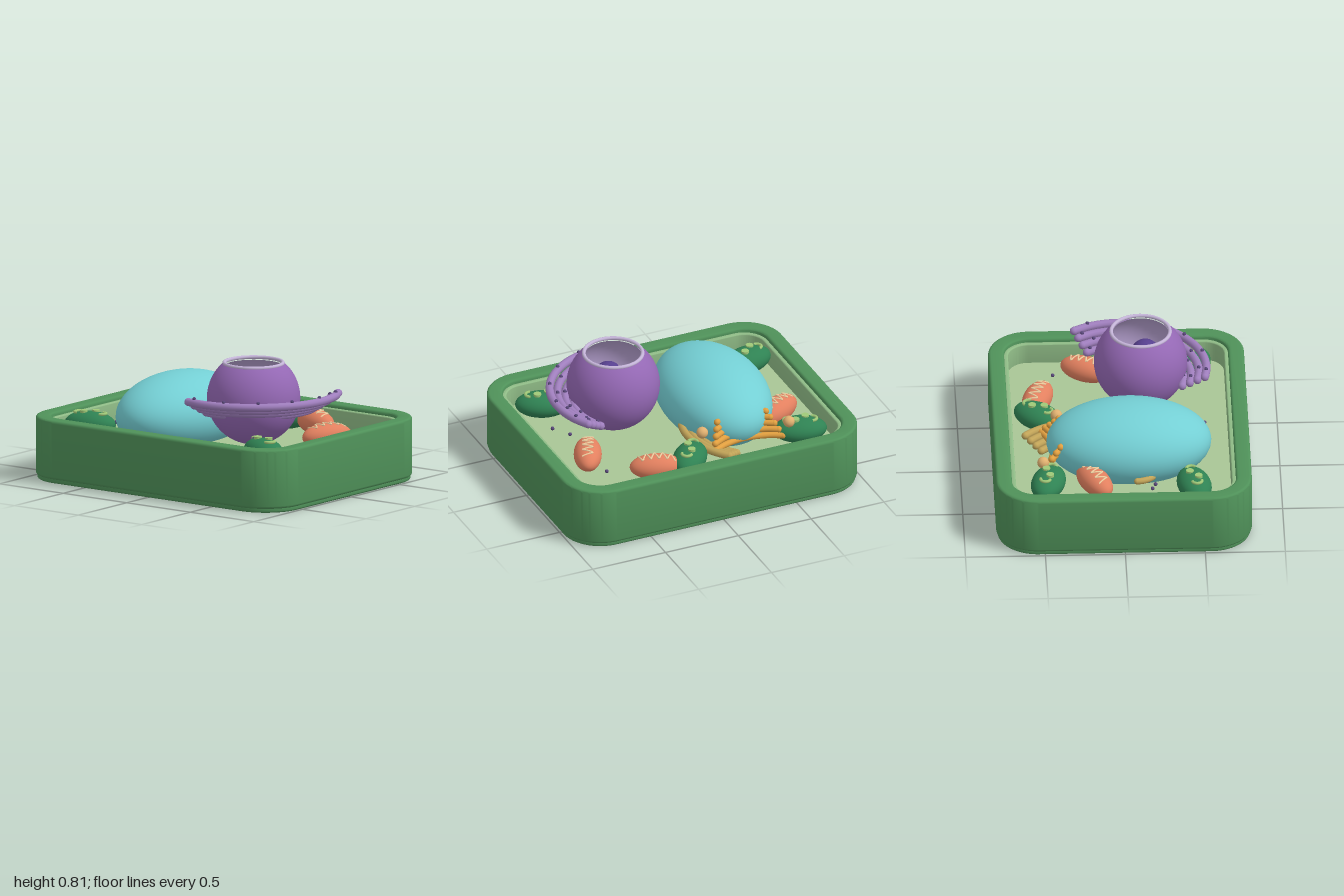
import * as THREE from 'three';
import { toCreasedNormals } from 'three/addons/utils/BufferGeometryUtils.js';

const mat = (color, double) => new THREE.MeshStandardMaterial({ color, side: double ? THREE.DoubleSide : THREE.FrontSide });
const M = {
  wall: mat(0x4f9159), membrane: mat(0x8fbb86), cytoplasm: mat(0xa9c596),
  vacuole: mat(0x74cfd4), nucleus: mat(0x9468b4), lining: mat(0xb49fce, true), rim: mat(0xc4b4d8),
  nucleolus: mat(0x57408f), er: mat(0xa07fbe), ribosome: mat(0x59487a),
  golgi: mat(0xe2a040), smooth: mat(0xc2a458), vesicle: mat(0xe0b070),
  mito: mat(0xe2805f), crista: mat(0xf0cfa0), chloro: mat(0x2f8253), granum: mat(0x9fc878),
};

function add(parent, name, geo, material, x = 0, y = 0, z = 0) {
  const m = new THREE.Mesh(geo, material);
  m.name = name;
  m.position.set(x, y, z);
  parent.add(m);
  return m;
}

function roundedRect(hx, hz, r, Type = THREE.Shape) {
  const s = new Type();
  s.absarc(hx - r, hz - r, r, 0, Math.PI / 2);
  s.absarc(-hx + r, hz - r, r, Math.PI / 2, Math.PI);
  s.absarc(-hx + r, -hz + r, r, Math.PI, Math.PI * 1.5);
  s.absarc(hx - r, -hz + r, r, Math.PI * 1.5, Math.PI * 2);
  s.closePath();
  return s;
}

// Rounded slab or frame lying flat between heights y0 and y1
function slab(outer, inner, y0, y1, bevel) {
  const shape = roundedRect(outer[0] - bevel, outer[1] - bevel, outer[2] - bevel);
  if (inner) shape.holes.push(roundedRect(inner[0] + bevel, inner[1] + bevel, inner[2] + bevel, THREE.Path));
  const g = new THREE.ExtrudeGeometry(shape, {
    depth: y1 - y0 - 2 * bevel, curveSegments: 16, bevelEnabled: bevel > 0,
    bevelSize: bevel, bevelThickness: bevel, bevelSegments: 4,
  });
  g.rotateX(-Math.PI / 2);
  g.translate(0, y0 + bevel, 0);
  return toCreasedNormals(g, 0.6);
}

const tube = (pts, r, n = 40) => new THREE.TubeGeometry(new THREE.CatmullRomCurve3(pts), n, r, 10, false);

// Horizontal arc tube with rounded ends; angles run from +x towards +z
function arcTube(parent, name, material, cx, cz, R, y, a0, a1, r) {
  const pts = [];
  for (let i = 0; i <= 12; i++) {
    const a = a0 + (a1 - a0) * i / 12;
    pts.push(new THREE.Vector3(cx + R * Math.cos(a), y, cz + R * Math.sin(a)));
  }
  add(parent, name, tube(pts, r), material);
  for (const p of [pts[0], pts[12]]) add(parent, name + 'End', new THREE.SphereGeometry(r, 10, 8), material, p.x, p.y, p.z);
}

// Ellipsoid organelle whose long axis is local x
function organelle(parent, name, material, [x, z, turn], [rx, ry, rz], y) {
  const g = new THREE.Group();
  g.name = name;
  g.position.set(x, y, z);
  g.rotation.y = turn;
  add(g, name + 'Body', new THREE.SphereGeometry(1, 32, 20).scale(rx, ry, rz), material);
  parent.add(g);
  return g;
}

export function createModel() {
  const root = new THREE.Group();
  root.name = 'plantCell';

  // Tray: base, wall, membrane lining and cytoplasm floor
  add(root, 'base', slab([0.99, 0.79, 0.25], null, 0, 0.04, 0.012), M.wall);
  add(root, 'cellWall', slab([1, 0.8, 0.26], [0.9, 0.7, 0.16], 0.025, 0.4, 0.018), M.wall);
  add(root, 'membrane', slab([0.905, 0.705, 0.16], [0.875, 0.675, 0.13], 0.05, 0.375, 0.008), M.membrane);
  add(root, 'cytoplasm', slab([0.89, 0.69, 0.14], null, 0.04, 0.24, 0), M.cytoplasm);

  // Large vacuole
  add(root, 'vacuole', new THREE.SphereGeometry(1, 48, 32).scale(0.337, 0.255, 0.516), M.vacuole, -0.3, 0.4, 0.045);

  // Nucleus: open shell, lining, rim and nucleolus
  const nucleus = new THREE.Group();
  nucleus.name = 'nucleus';
  nucleus.position.set(0.34, 0.575, 0.14);
  root.add(nucleus);
  const open = Math.asin(0.19 / 0.292);
  add(nucleus, 'nucleusShell', new THREE.SphereGeometry(0.292, 48, 32, 0, Math.PI * 2, open, Math.PI - open), M.nucleus);
  add(nucleus, 'nucleusLining', new THREE.SphereGeometry(0.272, 40, 28, 0, Math.PI * 2, open, Math.PI - open), M.lining);
  add(nucleus, 'nucleusRim', new THREE.TorusGeometry(0.184, 0.012, 12, 48).rotateX(Math.PI / 2), M.rim, 0, 0.222, 0);
  add(nucleus, 'nucleolus', new THREE.SphereGeometry(0.09, 28, 20), M.nucleolus, 0.02, 0.05, 0.03);

  // Rough reticulum: widening stacked arcs dotted with ribosomes
  const a0 = -0.57, a1 = 1.8;
  for (let i = 0; i < 4; i++) {
    const R = 0.385 + i * 0.048, y = 0.5 + i * 0.028;
    arcTube(root, 'roughReticulum', M.er, 0.25, 0.02, R, y, a0, a1, 0.026);
    for (let k = 0; k < 6; k++) {
      const a = a0 + 0.06 + (a1 - a0 - 0.12) * (k + (i % 2) * 0.3) / 5.4;
      add(root, 'ribosome', new THREE.SphereGeometry(0.012, 10, 8), M.ribosome,
        0.25 + R * Math.cos(a), y + 0.027, 0.02 + R * Math.sin(a));
    }
  }

  // Golgi: sagging cisternae rising towards the vacuole, with vesicles
  for (let i = 0; i < 5; i++) {
    const y = 0.33 + i * 0.033, z = -0.5 + i * 0.028, h = 0.235 - i * 0.017;
    const pts = [-1, -0.6, 0, 0.6, 1].map(t =>
      new THREE.Vector3(-0.3 + h * t, y, z + 0.07 * (1 - t * t)));
    add(root, 'golgiCisterna', tube(pts, 0.02), M.golgi);
    for (const p of [pts[0], pts[4]]) add(root, 'golgiEnd', new THREE.SphereGeometry(0.021, 10, 8), M.golgi, p.x, p.y, p.z);
  }
  for (const [x, z] of [[-0.575, -0.5], [-0.025, -0.4]])
    add(root, 'golgiVesicle', new THREE.SphereGeometry(0.037, 20, 14), M.vesicle, x, 0.42, z);

  // Smooth reticulum: low concentric arcs partly under the vacuole
  for (let i = 0; i < 4; i++)
    arcTube(root, 'smoothReticulum', M.smooth, -0.44, -0.27, 0.32 + i * 0.045, 0.28 + i * 0.018, -0.8, 0.4, 0.024);
  arcTube(root, 'smoothReticulumTip', M.smooth, -0.5, 0.08, 0.14, 0.31, 2.3, 3.1, 0.02);

  // Mitochondria with zigzag cristae
  for (const place of [[-0.64, -0.18, 0.5], [0.335, -0.505, -0.35], [0.665, -0.19, 1.15]]) {
    const g = organelle(root, 'mitochondrion', M.mito, place, [0.17, 0.08, 0.088], 0.32);
    const path = new THREE.CurvePath();
    const pts = [];
    for (let k = 0; k <= 9; k++) {
      const x = -0.115 + k * 0.0256, z = (k % 2 ? 1 : -1) * 0.036;
      pts.push(new THREE.Vector3(x, 0.08 * Math.sqrt(1 - (x / 0.17) ** 2 - (z / 0.088) ** 2) + 0.003, z));
    }
    for (let k = 0; k < 9; k++) {
      const mid = pts[k].clone().lerp(pts[k + 1], 0.5);
      mid.y += 0.008;
      path.add(new THREE.QuadraticBezierCurve3(pts[k], mid, pts[k + 1]));
    }
    add(g, 'cristae', new THREE.TubeGeometry(path, 90, 0.006, 6, false), M.crista);
  }

  // Chloroplasts with grana discs and crescents
  for (const place of [[-0.665, -0.47, -0.28], [0.11, -0.51, 0.9], [-0.715, 0.44, 0.22], [0.675, 0.475, -0.4]]) {
    const g = organelle(root, 'chloroplast', M.chloro, place, [0.17, 0.08, 0.105], 0.33);
    for (const [x, z] of [[-0.035, 0.02], [0.03, -0.02]])
      add(g, 'granum', new THREE.CylinderGeometry(0.024, 0.024, 0.025, 20), M.granum, x, 0.075, z);
    for (const s of [-1, 1]) {
      const c = add(g, 'granumCrescent', new THREE.TorusGeometry(0.03, 0.01, 8, 20, Math.PI).rotateX(Math.PI / 2), M.granum, s * 0.075, 0.07, 0);
      c.rotation.y = s * Math.PI / 2;
    }
  }

  // Free ribosomes drifting above the floor
  for (const [x, z] of [[-0.71, 0.18], [0.63, -0.4], [0.05, 0.53], [0.65, 0.11], [0.72, 0.22], [-0.66, 0.2]])
    add(root, 'freeRibosome', new THREE.SphereGeometry(0.012, 10, 8), M.ribosome, x, 0.3, z);

  return root;
}
